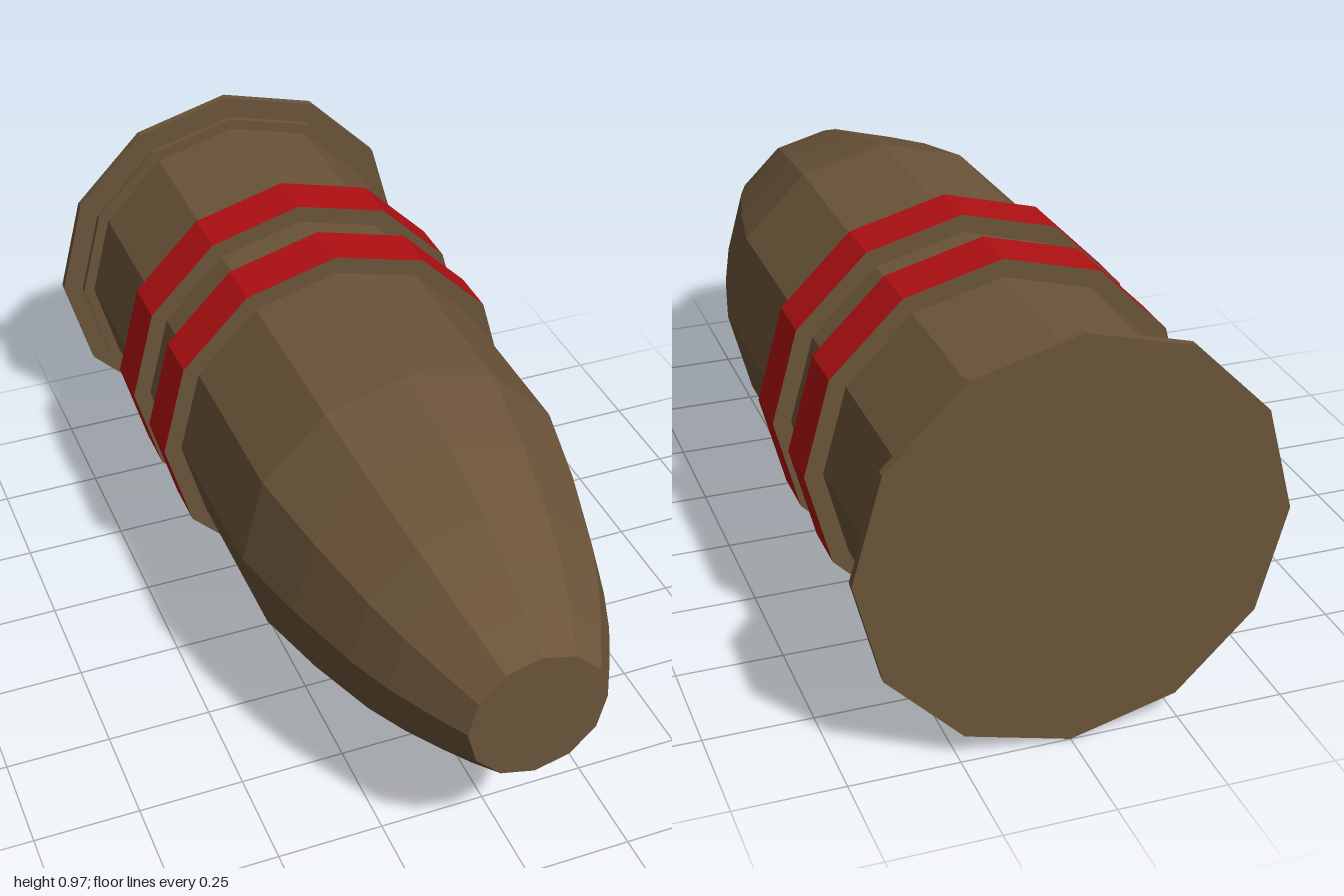
import * as THREE from 'three';

const SIDES = 12;

export function createModel() {
  const model = new THREE.Group();
  model.name = 'shell';
  const bronze = new THREE.MeshStandardMaterial({ color: 0x6b5439, flatShading: true });
  const red = new THREE.MeshStandardMaterial({ color: 0xb01012, flatShading: true });

  // All parts are turned round y, then laid along z at the axis height.
  function add(name, geometry, material, z = 0) {
    geometry.rotateX(Math.PI / 2);
    const mesh = new THREE.Mesh(geometry, material);
    mesh.name = name;
    mesh.position.set(0, 0.484, z);
    model.add(mesh);
  }

  // Disc or ring between two z positions
  function addDisc(name, radius, back, front, material) {
    const geometry = new THREE.CylinderGeometry(radius, radius, front - back, SIDES);
    add(name, geometry, material, (back + front) / 2);
  }

  // Straight casing running into a curved nose with a blunt tip: [radius, z]
  const profile = [
    [0, -0.99], [0.41, -0.99], [0.41, 0.29], [0.363, 0.5], [0.305, 0.7],
    [0.262, 0.81], [0.212, 0.91], [0.162, 1], [0, 1],
  ].map(([r, z]) => new THREE.Vector2(r, z));
  add('body', new THREE.LatheGeometry(profile, SIDES), bronze);

  // Base flange and the thin rim in front of it
  addDisc('baseFlange', 0.484, -1, -0.98, bronze);
  addDisc('baseRim', 0.438, -0.96, -0.944, bronze);

  // Driving bands: red outside, bronze flanks
  const bandMaterials = [red, bronze, bronze];
  addDisc('frontBand', 0.453, -0.294, -0.168, bandMaterials);
  addDisc('rearBand', 0.453, -0.55, -0.424, bandMaterials);

  return model;
}
